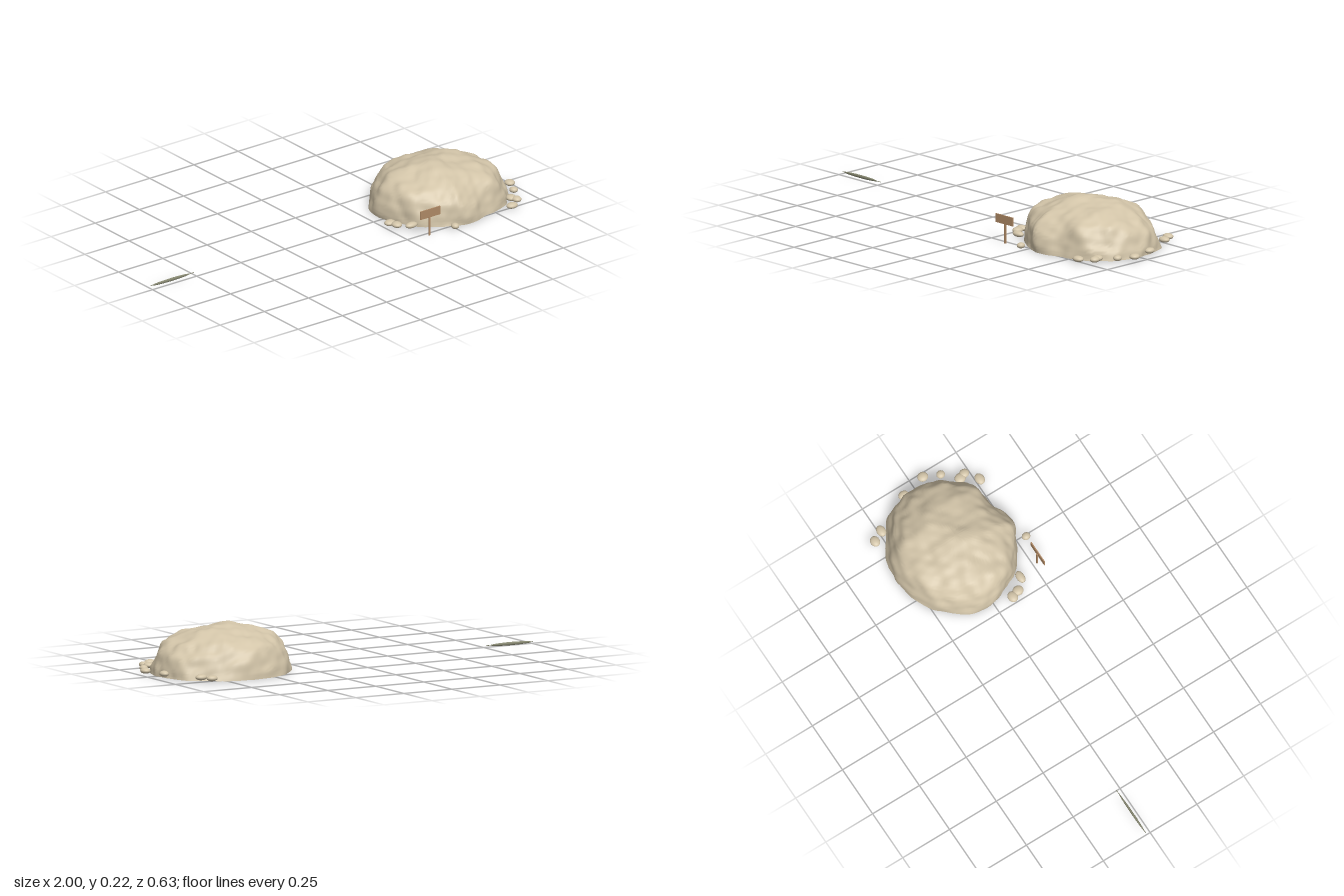
import * as THREE from 'three';
import { toCreasedNormals } from 'three/addons/utils/BufferGeometryUtils.js';

const stone = new THREE.MeshStandardMaterial({ name: 'sandstone', color: 0xd2c4a8 });
const wood = new THREE.MeshStandardMaterial({ name: 'signWood', color: 0xb08a66 });
const moss = new THREE.MeshStandardMaterial({ name: 'weatheredGreen', color: 0x85866f });

function add(parent, name, geometry, material, x = 0, y = 0, z = 0) {
  const mesh = new THREE.Mesh(geometry, material);
  mesh.name = name;
  mesh.position.set(x, y, z);
  parent.add(mesh);
  return mesh;
}

// Even rolling waves in all three directions, in tilted axes
function wave(x, y, z, k) {
  const a = k * (0.8 * x + 0.6 * z), b = k * (y + 0.3 * x), c = k * (0.8 * z - 0.6 * x) + 1;
  return Math.sin(a) * Math.cos(b) + Math.sin(b) * Math.cos(c) + Math.sin(c) * Math.cos(a);
}

function bumps(x, y, z) {
  return 0.006 * wave(x, y, z, 24) + 0.004 * wave(z, y, x, 47) + 0.002 * wave(x, z, y, 85);
}

// Boulder: a grid wrapped round the ground outline and up a domed profile
function boulderGeometry() {
  const outline = new THREE.CatmullRomCurve3([
    [0.565, 0.275], [0.70, 0.25], [0.83, 0.215], [0.915, 0.12], [0.948, 0], [0.938, -0.1],
    [0.885, -0.19], [0.75, -0.28], [0.59, -0.308], [0.43, -0.24], [0.318, -0.1],
    [0.312, 0.05], [0.38, 0.16], [0.49, 0.25],
  ].map(([x, z]) => new THREE.Vector3(x, 0, z)), true);
  const profile = new THREE.CatmullRomCurve3([
    [1, 0], [0.985, 0.035], [0.935, 0.085], [0.845, 0.13], [0.69, 0.164],
    [0.45, 0.19], [0.2, 0.203], [0, 0.206],
  ].map(([s, y]) => new THREE.Vector3(s, y, 0)));
  const rows = 40;
  const geo = new THREE.PlaneGeometry(1, 1, 120, rows);
  const pos = geo.attributes.position, uv = geo.attributes.uv;
  for (let i = 0; i < pos.count; i++) {
    const row = Math.round(uv.getY(i) * rows);
    const edge = outline.getPoint(uv.getX(i) % 1);
    // The first row closes the flat underside
    const p = row === 0 ? new THREE.Vector3() : profile.getPoint((row - 1) / (rows - 1));
    const cx = 0.62 - 0.1 * p.y, cz = -0.02 + 0.05 * p.y;
    let x = cx + (edge.x - 0.62) * p.x, z = cz + (edge.z + 0.02) * p.x, y = p.y;
    const n = bumps(x, y, z);
    if (row > 0) {
      x += (edge.x - 0.62) * p.x * n * 2.2;
      z += (edge.z + 0.02) * p.x * n * 2.2;
      // A low summit hump and a shoulder break up the dome
      const hump = 0.01 * Math.exp(-((x - 0.59) ** 2 + (z - 0.01) ** 2) / 0.006);
      const shoulder = 0.014 * Math.exp(-((x - 0.75) ** 2 + (z + 0.05) ** 2) / 0.006);
      y += (n * 0.6 + hump + shoulder) * Math.min(1, y / 0.08);
    }
    pos.setXYZ(i, x, Math.max(0, y), z);
  }
  geo.deleteAttribute('normal');
  return toCreasedNormals(geo, 0.9);
}

export function createModel() {
  const model = new THREE.Group();
  model.name = 'boulderWithSign';
  add(model, 'boulder', boulderGeometry(), stone);

  // Flattened pebbles around the foot: x, z, half width, half depth
  const pebbles = new THREE.Group();
  pebbles.name = 'pebbles';
  model.add(pebbles);
  const ball = new THREE.SphereGeometry(1, 24, 16);
  [
    [0.833, -0.29, 0.026, 0.022], [0.86, -0.24, 0.028, 0.021], [0.95, -0.063, 0.02, 0.025],
    [0.977, 0.057, 0.023, 0.025], [0.943, 0.131, 0.019, 0.02], [0.88, 0.195, 0.024, 0.026],
    [0.89, 0.222, 0.021, 0.024], [0.83, 0.267, 0.028, 0.022], [0.487, 0.294, 0.018, 0.02],
    [0.337, 0.167, 0.031, 0.019], [0.288, 0.123, 0.023, 0.026], [0.276, 0.087, 0.027, 0.023],
  ].forEach(([x, z, w, d]) => add(pebbles, 'pebble', ball, stone, x, 0.0205, z).scale.set(w, 0.0135, d));

  // Wooden sign beside the boulder
  const sign = new THREE.Group();
  sign.name = 'sign';
  model.add(sign);
  add(sign, 'signPost', new THREE.BoxGeometry(0.008, 0.115, 0.006), wood, 0.36, 0.0575, 0.27);
  add(sign, 'signBoard', new THREE.BoxGeometry(0.112, 0.04, 0.005), wood, 0.36, 0.111, 0.2755);

  // Narrow weathered stick lying apart, pointed at both ends
  const stick = new THREE.Group();
  stick.name = 'lyingStick';
  model.add(stick);
  const shaft = new THREE.CylinderGeometry(0.0015, 0.0015, 0.245, 8);
  shaft.rotateZ(Math.PI / 2);
  add(stick, 'shaft', shaft, moss, -0.8725, 0.011, -0.02);
  add(stick, 'blade', ball, moss, -0.88, 0.011, -0.02).scale.set(0.108, 0.0075, 0.005);
  return model;
}
